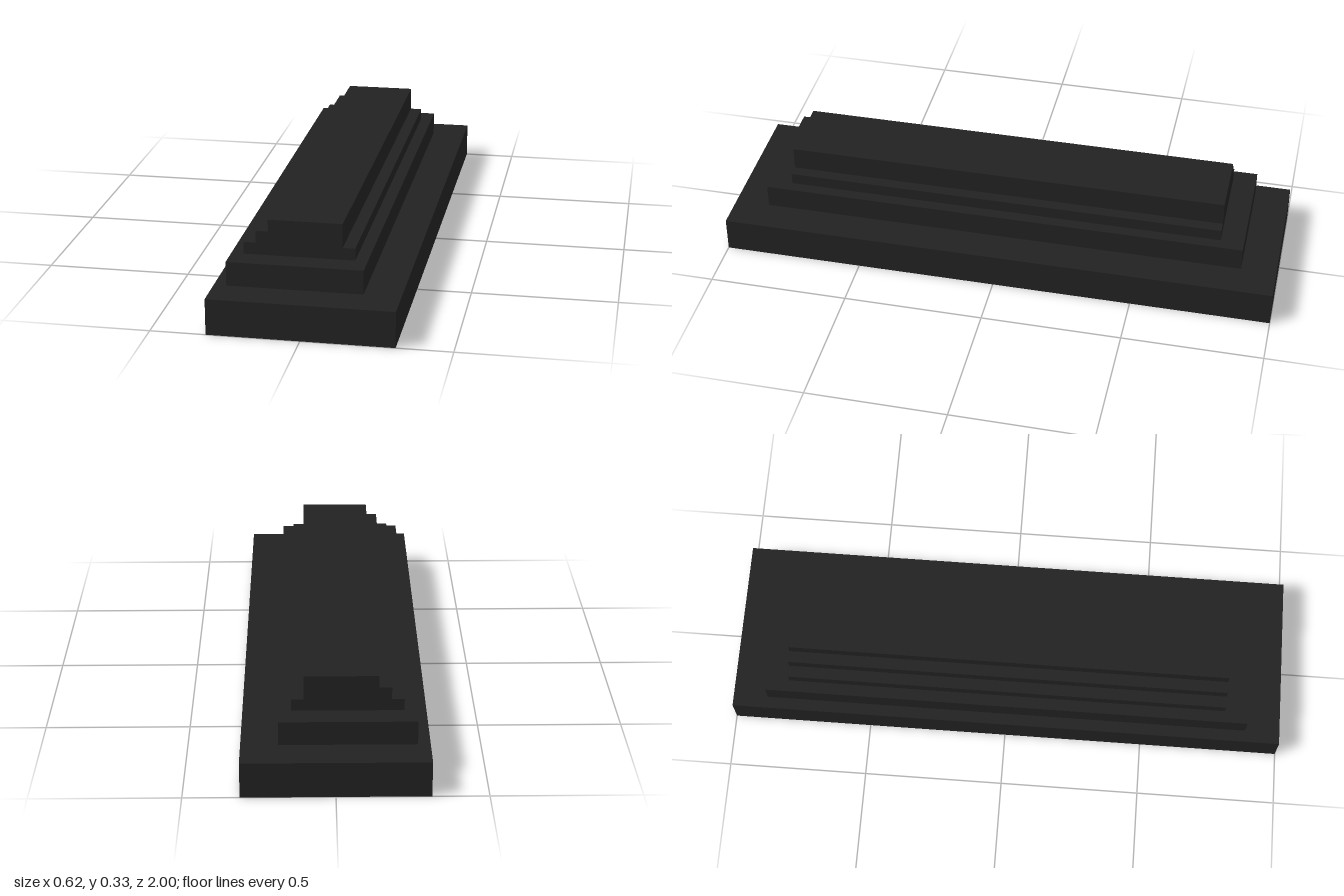
import * as THREE from 'three';

// All sizes sit on a regular grid of 48 steps per unit.
const U = 1 / 48;

export function createModel() {
  const group = new THREE.Group();
  const charcoal = new THREE.MeshStandardMaterial({ color: 0x222222 });

  // Slab from x0 to x1, y0 to y1, centred on z
  function slab(name, x0, x1, y0, y1, halfDepth) {
    const geometry = new THREE.BoxGeometry((x1 - x0) * U, (y1 - y0) * U, 2 * halfDepth * U);
    const mesh = new THREE.Mesh(geometry, charcoal);
    mesh.name = name;
    mesh.position.set((x0 + x1) / 2 * U, (y0 + y1) / 2 * U, 0);
    group.add(mesh);
  }

  // Wide base and the plinth set back on it
  slab('base', -15, 15, 0, 6, 48);
  slab('plinth', -13, 9, 6, 10, 42);

  // Stepped ridge: two small steps on the right, one tall riser on the left
  const outline = [
    [-11, 10], [7, 10], [7, 12], [5, 12], [5, 16],
    [-7, 16], [-7, 14], [-9, 14], [-9, 12], [-11, 12],
  ].map(([x, y]) => new THREE.Vector2(x * U, y * U));
  const ridgeGeometry = new THREE.ExtrudeGeometry(new THREE.Shape(outline), {
    depth: 76 * U,
    bevelEnabled: false,
  });
  ridgeGeometry.translate(0, 0, -38 * U);
  const ridge = new THREE.Mesh(ridgeGeometry, charcoal);
  ridge.name = 'steppedRidge';
  group.add(ridge);

  return group;
}
